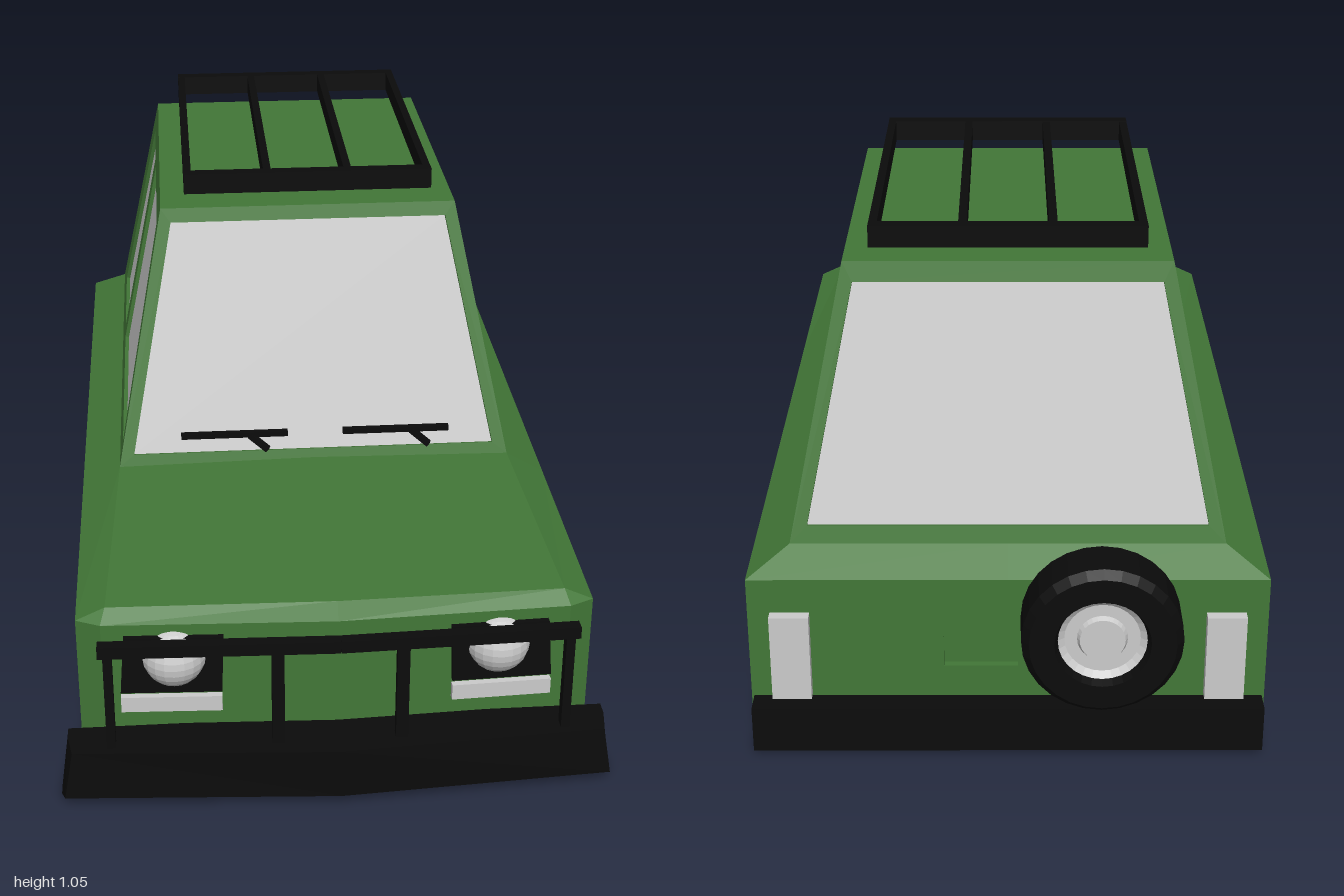
import * as THREE from 'three';

const V = (x, y, z) => new THREE.Vector3(x, y, z);
const mat = (color) => new THREE.MeshStandardMaterial({ color, flatShading: true, side: THREE.DoubleSide });
const green = mat(0x427737), black = mat(0x0b0b0b), grey = mat(0xcccccc);

export function createModel() {
  const root = new THREE.Group();
  const add = (name, geo, material, x = 0, y = 0, z = 0) => {
    const m = new THREE.Mesh(geo, material);
    m.name = name;
    m.position.set(x, y, z);
    root.add(m);
    return m;
  };
  const box = (name, material, w, h, d, x, y, z) => add(name, new THREE.BoxGeometry(w, h, d), material, x, y, z);

  // Beam of rectangular section between two points
  const beam = (name, a, b, w, h) => {
    const m = box(name, black, w, h, a.distanceTo(b), 0, 0, 0);
    m.position.copy(a).lerp(b, 0.5);
    m.lookAt(b);
  };

  // Flat sheet with holes, its outer face on the given points, thickened inward
  const panel = (name, material, normal, pts, holes = [], depth = 0.015, inset = 0) => {
    const n = normal.clone().normalize();
    const ey = V(0, 1, 0).addScaledVector(n, -n.y).normalize();
    const ex = ey.clone().cross(n);
    const flat = (list) => list.map((p) => {
      const d = p.clone().sub(pts[0]);
      return new THREE.Vector2(d.dot(ex), d.dot(ey));
    });
    const shape = new THREE.Shape(flat(pts));
    shape.holes = holes.map((h) => new THREE.Path(flat(h)));
    const geo = new THREE.ExtrudeGeometry(shape, { depth, bevelEnabled: false });
    const origin = pts[0].clone().addScaledVector(n, -depth - inset);
    geo.applyMatrix4(new THREE.Matrix4().makeBasis(ex, ey, n).setPosition(origin));
    return add(name, geo, material);
  };

  // Cabin taper: half width, front z and rear z at a given height
  const t = (y) => (y - 0.43) / 0.545;
  const cx = (y) => 0.44 - 0.11 * t(y);
  const zf = (y) => 0.31 - 0.19 * t(y);
  const zr = (y) => -0.81 + 0.165 * t(y);

  // Windscreen and rear window with their frames
  const screen = (name, n, zAt, y0, y1) => {
    const quad = (a, b, inset) => [[-1, a], [1, a], [1, b], [-1, b]].map(([s, y]) => V(s * (cx(y) - inset), y, zAt(y)));
    const opening = quad(y0, y1, 0.028);
    panel(name + 'Frame', green, n, quad(0.43, 0.975, 0), [opening]);
    panel(name + 'Glass', grey, n, opening, [], 0.003, 0.009);
  };
  screen('windscreen', V(0, 0.19, 0.545), zf, 0.455, 0.945);
  screen('rearWindow', V(0, 0.165, -0.545), zr, 0.465, 0.935);
  box('roof', green, 0.66, 0.02, 0.765, 0, 0.965, -0.2625);

  // Wheel arch outline, front to rear
  const arch = (c, x) => {
    const pts = [V(x, 0.01, c + 0.193)];
    for (let i = 0; i <= 20; i++) {
      const a = (i / 20) * Math.PI;
      pts.push(V(x, 0.06 + 0.195 * Math.sin(a), c + 0.195 * Math.cos(a)));
    }
    pts.push(V(x, 0.01, c - 0.193));
    return pts;
  };

  const skin = [];
  const quad = (s, ...p) => {
    const q = p.map(([x, y, z]) => [s * x, y, z]);
    if (s < 0) q.reverse();
    for (let i = 1; i < q.length - 1; i++) skin.push(...q[0], ...q[i], ...q[i + 1]);
  };

  for (const s of [1, -1]) {
    const side = s > 0 ? 'left' : 'right';
    // Cabin side with two windows
    const onSide = ([z, y]) => V(s * cx(y), y, z);
    const sideN = V(s * 0.545, 0.11, 0);
    const windows = [
      [[0.26, 0.47], [-0.305, 0.47], [-0.285, 0.93], [0.085, 0.93]],
      [[-0.375, 0.47], [-0.69, 0.47], [-0.56, 0.93], [-0.355, 0.93]],
    ].map((w) => w.map(onSide));
    panel(side + 'CabinSide', green, sideN, [[0.31, 0.43], [-0.81, 0.43], [-0.645, 0.975], [0.12, 0.975]].map(onSide), windows);
    windows.forEach((w) => panel(side + 'SideGlass', grey, sideN, w, [], 0.003, 0.009));

    // Lower body side with wheel arches
    const x = s * 0.525;
    panel(side + 'BodySide', green, V(s, 0, 0), [V(x, 0.01, 0.85), ...arch(0.573, x), ...arch(-0.582, x),
      V(x, 0.01, -0.87), V(x, 0.38, -0.87), V(x, 0.38, 0.85)]);

    // Front panel half, lamp housing and lamps
    const frontN = V(s * 0.042, 0, 1);
    const onFront = (px, y, out = 0) => V(s * px, y, 0.893 - 0.042 * px + out);
    const lampQuad = (out) => [[0.23, 0.355], [0.43, 0.355], [0.44, 0.225], [0.235, 0.225]].map(([px, y]) => onFront(px, y, out));
    panel(side + 'FrontPanel', green, frontN, [onFront(0, 0.05), onFront(0.475, 0.05), onFront(0.475, 0.38), onFront(0, 0.38)], [lampQuad(0)]);
    const ring = [];
    for (let i = 0; i < 20; i++) {
      const a = (i / 10) * Math.PI;
      ring.push(onFront(0.33 + 0.064 * Math.cos(a), 0.3 + 0.05 * Math.sin(a), 0.012));
    }
    panel(side + 'LampHousing', black, frontN, lampQuad(0.012), [ring], 0.035);
    add(side + 'Headlamp', new THREE.SphereGeometry(0.066, 20, 14), grey, s * 0.33, 0.3, 0.862);
    panel(side + 'Indicator', grey, frontN, [[0.235, 0.18], [0.44, 0.18], [0.44, 0.215], [0.235, 0.215]].map(([px, y]) => onFront(px, y, 0.014)), [], 0.035);
    box(side + 'TailLamp', grey, 0.08, 0.19, 0.035, s * 0.44, 0.21, -0.875);

    // Bonnet, nose slope, front corner, shoulder
    quad(s, [0, 0.415, 0.873], [0.465, 0.408, 0.85], [0.44, 0.43, 0.31], [0, 0.437, 0.31]);
    quad(s, [0, 0.38, 0.893], [0.475, 0.38, 0.873], [0.465, 0.408, 0.85], [0, 0.415, 0.873]);
    quad(s, [0.475, 0.05, 0.873], [0.525, 0.01, 0.85], [0.525, 0.38, 0.85], [0.475, 0.38, 0.873]);
    quad(s, [0.475, 0.38, 0.873], [0.525, 0.38, 0.85], [0.465, 0.408, 0.85]);
    quad(s, [0.465, 0.408, 0.85], [0.525, 0.38, 0.85], [0.525, 0.38, 0.31], [0.44, 0.43, 0.31]);
    quad(s, [0.44, 0.43, 0.31], [0.525, 0.38, 0.31], [0.525, 0.38, -0.87], [0.44, 0.43, -0.81]);
    quad(s, [0, 0.43, -0.81], [0.44, 0.43, -0.81], [0.525, 0.38, -0.87], [0, 0.38, -0.87]);

    // Bull bar half
    beam('bullBarTop', V(0, 0.367, 0.955), V(s * 0.48, 0.367, 0.94), 0.025, 0.026);
    box('bullBarOuterPost', black, 0.018, 0.24, 0.025, s * 0.461, 0.25, 0.94);
    box('bullBarInnerPost', black, 0.025, 0.24, 0.02, s * 0.125, 0.25, 0.95);
  }
  const skinGeo = new THREE.BufferGeometry();
  skinGeo.setAttribute('position', new THREE.Float32BufferAttribute(skin, 3));
  skinGeo.computeVertexNormals();
  add('upperBody', skinGeo, green);

  // Tailgate with a recessed handle pocket
  const rear = (x0, x1, y0, y1) => [V(x0, y0, -0.87), V(x1, y0, -0.87), V(x1, y1, -0.87), V(x0, y1, -0.87)];
  const pocket = rear(-0.02, 0.13, 0.18, 0.25);
  panel('tailgate', green, V(0, 0, -1), rear(-0.525, 0.525, 0.01, 0.38), [pocket]);
  panel('handlePocket', green, V(0, 0, -1), pocket, [], 0.003, 0.015);

  // Front bumper: pointed plan, wider at the foot, lower front edge lifted
  const plan = new THREE.Shape([[-0.55, -0.88], [0.55, -0.88], [0.55, -0.91], [0.54, -0.965], [0, -1], [-0.54, -0.965], [-0.55, -0.91]]
    .map(([x, y]) => new THREE.Vector2(x, y)));
  const bumper = new THREE.ExtrudeGeometry(plan, { depth: 0.14, bevelEnabled: false });
  bumper.rotateX(-Math.PI / 2);
  const p = bumper.attributes.position;
  for (let i = 0; i < p.count; i++) {
    if (p.getY(i) > 0.07) continue;
    p.setX(i, p.getX(i) * 1.035);
    p.setY(i, p.getZ(i) > 0.93 ? 0.03 : 0);
  }
  bumper.computeVertexNormals();
  add('frontBumper', bumper, black);
  box('rearBumper', black, 1.04, 0.1, 0.05, 0, 0.06, -0.896);

  // Roof rack
  for (const x of [-0.268, -0.09, 0.09, 0.268]) box('rackRail', black, 0.017, 0.044, 0.765, x, 1.028, -0.268);
  for (const z of [0.1, -0.636]) box('rackCrossBar', black, 0.553, 0.045, 0.03, 0, 1.028, z);

  // Wipers
  for (const x of [-0.18, 0.185]) {
    box('wiperBlade', black, 0.24, 0.013, 0.012, x, 0.495, zf(0.495) + 0.008);
    beam('wiperArm', V(x + 0.035, 0.492, zf(0.492) + 0.008), V(x + 0.075, 0.46, zf(0.46) + 0.008), 0.014, 0.012);
  }

  // Spare wheel on the tailgate
  const lathe = (pts) => new THREE.LatheGeometry(pts.map(([r, y]) => new THREE.Vector2(r, y)), 28).rotateX(-Math.PI / 2);
  add('spareTyre', lathe([[0, -0.062], [0.14, -0.062], [0.16, -0.045], [0.16, 0.045], [0.145, 0.062], [0.095, 0.062], [0.085, 0.035]]), black, -0.185, 0.31, -0.938);
  add('spareHub', lathe([[0.088, 0.045], [0.075, 0.035], [0.05, 0.035], [0.045, 0.045], [0, 0.045]]), grey, -0.185, 0.31, -0.938);
  return root;
}
